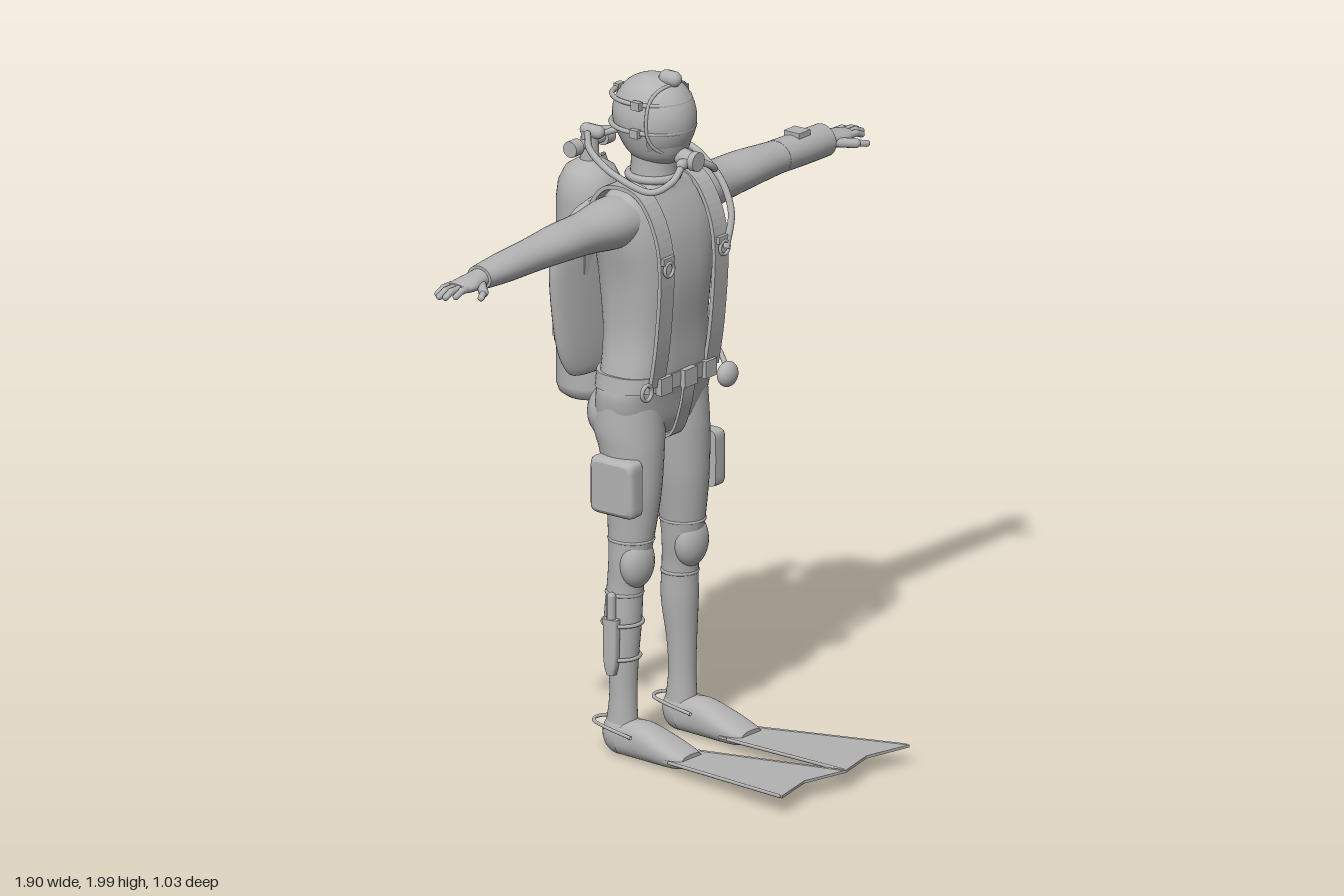
import * as THREE from 'three';

const grey = new THREE.MeshStandardMaterial({ color: 0xb3b3b3, side: THREE.DoubleSide });
grey.name = 'grey';
const V = (x, y, z) => new THREE.Vector3(x, y, z);

// Smooth body through cross-sections [t, u, v, ru, rv] along one axis, with capped ends.
// y axis: u = x, v = z; x axis: u = y, v = z; z axis: u = x, v = y.
function loft(axis, secs, exp = 2, seg = 32, sub = 5) {
  const rows = [], n = secs.length, pos = [], idx = [];
  const cr = (a, b, c, d, t) => 0.5 * (2 * b + (c - a) * t + (2 * a - 5 * b + 4 * c - d) * t * t + (3 * b - a - 3 * c + d) * t * t * t);
  for (let i = 0; i < n - 1; i++) for (let k = 0; k < sub; k++) {
    const [a, b, c, d] = [i - 1, i, i + 1, i + 2].map(j => secs[Math.min(n - 1, Math.max(0, j))]);
    rows.push(b.map((_, q) => cr(a[q], b[q], c[q], d[q], k / sub)));
  }
  rows.push(secs[n - 1]);
  const all = [[...rows[0].slice(0, 3), 0, 0], rows[0], ...rows, rows[rows.length - 1], [...secs[n - 1].slice(0, 3), 0, 0]];
  const sp = w => Math.sign(w) * Math.pow(Math.abs(w), 2 / exp);
  for (const [t, u, v, ru, rv] of all) for (let j = 0; j < seg; j++) {
    const a = j / seg * Math.PI * 2, p = u + ru * sp(Math.cos(a)), q = v + rv * sp(Math.sin(a));
    pos.push(...(axis === 'y' ? [p, t, q] : axis === 'x' ? [t, p, q] : [p, q, t]));
  }
  const flip = (axis === 'y') !== (secs[n - 1][0] < secs[0][0]);
  for (let i = 0; i < all.length - 1; i++) {
    if (i === 1 || i === all.length - 3) continue;
    for (let j = 0; j < seg; j++) {
      const a = i * seg + j, b = i * seg + (j + 1) % seg, c = a + seg, d = b + seg;
      flip ? idx.push(a, c, b, b, c, d) : idx.push(a, b, c, b, d, c);
    }
  }
  const g = new THREE.BufferGeometry();
  g.setAttribute('position', new THREE.Float32BufferAttribute(pos, 3));
  g.setIndex(idx);
  g.computeVertexNormals();
  return g;
}

const ball = (x, y, z, a, b = a, c = a) => new THREE.SphereGeometry(1, 32, 20).scale(a, b, c).translate(x, y, z);
const box = (x, y, z, w, h, d) => new THREE.BoxGeometry(w, h, d).translate(x, y, z);
const tube = (pts, r, closed = false) =>
  new THREE.TubeGeometry(new THREE.CatmullRomCurve3(pts.map(p => V(...p)), closed), 48, r, 10, closed);
const hoop = (y, z, rx, rz, r, x = 0) =>
  new THREE.TorusGeometry(1, r / rx, 8, 40).rotateX(Math.PI / 2).scale(rx, rx, rz).translate(x, y, z);
function rod(a, b, r) {
  const p = V(...a), d = V(...b).sub(p);
  const g = new THREE.CapsuleGeometry(r, d.length(), 5, 12);
  g.applyQuaternion(new THREE.Quaternion().setFromUnitVectors(V(0, 1, 0), d.clone().normalize()));
  return g.translate(p.x + d.x / 2, p.y + d.y / 2, p.z + d.z / 2);
}
// Flat webbing following a (z, y) path, w wide in x
function webbing(pts, x, w, th) {
  const c = new THREE.SplineCurve(pts.map(p => new THREE.Vector2(...p)));
  const out = [], inn = [];
  for (let i = 0; i <= 40; i++) {
    const p = c.getPoint(i / 40), t = c.getTangent(i / 40);
    out.push(p);
    inn.unshift(new THREE.Vector2(p.x - t.y * th, p.y + t.x * th));
  }
  return new THREE.ExtrudeGeometry(new THREE.Shape([...out, ...inn]), { depth: w, bevelEnabled: false })
    .rotateY(-Math.PI / 2).translate(x + w / 2, 0, 0);
}

export function createModel() {
  const root = new THREE.Group();
  root.name = 'diver';
  const add = (name, ...geos) => geos.forEach(g => {
    const m = new THREE.Mesh(g, grey);
    m.name = name;
    root.add(m);
  });

  // Body
  add('torso', loft('y', [[0.94, 0, -0.18, 0.06, 0.07], [0.98, 0, -0.185, 0.17, 0.1], [1.06, 0, -0.175, 0.198, 0.105],
    [1.13, 0, -0.165, 0.185, 0.108], [1.25, 0, -0.165, 0.165, 0.112], [1.4, 0, -0.165, 0.172, 0.125],
    [1.52, 0, -0.17, 0.195, 0.12], [1.6, 0, -0.175, 0.2, 0.1], [1.65, 0, -0.175, 0.17, 0.075], [1.675, 0, -0.175, 0.09, 0.065]], 2.7, 48));
  add('neck', loft('y', [[1.64, 0, -0.175, 0.075, 0.075], [1.7, 0, -0.172, 0.064, 0.066], [1.79, 0, -0.17, 0.064, 0.066]]));
  add('collar', hoop(1.685, -0.173, 0.068, 0.07, 0.012));

  // Head and full-face mask
  const hy = 1.855, hz = -0.17;
  add('head', loft('y', [[1.73, 0, -0.155, 0.04, 0.05], [1.76, 0, -0.16, 0.078, 0.088], [1.84, 0, hz, 0.106, 0.118],
    [1.9, 0, hz, 0.1, 0.117], [1.95, 0, hz, 0.074, 0.085], [1.975, 0, hz, 0.035, 0.042], [1.98, 0, hz, 0.005, 0.005]], 2.1));
  add('visor', new THREE.SphereGeometry(1, 32, 20, Math.PI / 2 - 1.15, 2.3, 0.6, 1.7).scale(0.112, 0.13, 0.125).translate(0, hy, hz));
  const rim = [];
  for (let i = 0; i < 24; i++) {
    const a = i / 24 * Math.PI * 2, c = Math.cos(a), s = Math.sin(a);
    const lon = 1.15 * Math.sign(c) * Math.pow(Math.abs(c), 0.7), lat = 0.12 + 0.85 * Math.sign(s) * Math.pow(Math.abs(s), 0.7);
    rim.push([0.112 * Math.sin(lon) * Math.cos(lat), hy + 0.13 * Math.sin(lat), hz + 0.125 * Math.cos(lon) * Math.cos(lat)]);
  }
  add('visorRim', tube(rim, 0.005, true));
  add('maskStrap', hoop(1.915, hz - 0.012, 0.1, 0.115, 0.007), hoop(1.835, hz - 0.005, 0.109, 0.122, 0.007));
  add('strapTab', box(0, 1.915, -0.295, 0.03, 0.025, 0.018), box(0, 1.835, -0.298, 0.03, 0.025, 0.018));
  add('headLamp', rod([0, 1.977, -0.1], [0, 1.977, -0.125], 0.023), box(0, 1.95, -0.12, 0.03, 0.05, 0.04));
  add('regulator', rod([0, 1.755, -0.07], [0, 1.75, -0.045], 0.026), rod([-0.035, 1.745, -0.045], [0.035, 1.745, -0.045], 0.016),
    new THREE.CylinderGeometry(0.028, 0.028, 0.02, 24).rotateX(Math.PI / 2).translate(0, 1.75, -0.022));

  for (const s of [1, -1]) {
    const m = secs => secs.map(([t, u, ...r]) => [t, s * u, ...r]);
    add('maskBuckle', box(s * 0.105, 1.915, -0.15, 0.018, 0.024, 0.028), box(s * 0.112, 1.835, -0.15, 0.018, 0.024, 0.028));

    // Legs
    add('leg', loft('y', m([[1.06, 0.1, -0.175, 0.094, 0.09], [0.97, 0.1, -0.18, 0.099, 0.102], [0.9, 0.103, -0.168, 0.09, 0.093],
      [0.78, 0.108, -0.158, 0.077, 0.08], [0.66, 0.115, -0.16, 0.063, 0.068], [0.58, 0.12, -0.165, 0.058, 0.058], [0.5, 0.124, -0.175, 0.051, 0.053],
      [0.4, 0.128, -0.18, 0.052, 0.054], [0.28, 0.132, -0.176, 0.043, 0.043], [0.18, 0.133, -0.175, 0.039, 0.04], [0.08, 0.134, -0.18, 0.042, 0.05]])));
    add('buttock', ball(s * 0.095, 1.0, -0.225, 0.088, 0.09, 0.085));
    add('kneePad', ball(s * 0.122, 0.58, -0.135, 0.06, 0.076, 0.043));
    add('kneeBand', hoop(0.645, -0.16, 0.06, 0.064, 0.005, s * 0.116), hoop(0.485, -0.177, 0.049, 0.05, 0.006, s * 0.125));
    add('thighPocket', loft('x', [[s * 0.165, 0.815, -0.157, 0.083, 0.076], [s * 0.205, 0.815, -0.157, 0.083, 0.076],
      [s * 0.218, 0.815, -0.157, 0.07, 0.064]], 9, 48, 3));

    // Boots and fins
    add('boot', ball(s * 0.135, 0.072, -0.18, 0.048, 0.063, 0.056));
    add('footPocket', loft('z', [[-0.17, 0.135, 0.062, 0.046, 0.05], [-0.1, 0.135, 0.065, 0.053, 0.054], [-0.02, 0.135, 0.053, 0.058, 0.042],
      [0.04, 0.135, 0.042, 0.056, 0.029], [0.07, 0.135, 0.04, 0.045, 0.018]].map(([t, u, ...r]) => [t, s * u, ...r]), 2.4));
    add('finStrap', tube([[0.06, 0.085, -0.1], [0.057, 0.1, -0.2], [0.03, 0.1, -0.255], [0, 0.1, -0.268], [-0.03, 0.1, -0.255],
      [-0.057, 0.1, -0.2], [-0.06, 0.085, -0.1]].map(([x, y, z]) => [x + s * 0.135, y, z]), 0.005));
    const outline = [[0.075, 0.0], [0.19, 0.0], [0.2, 0.08], [0.288, 0.512], [0.14, 0.475], [0.0, 0.512], [0.066, 0.08]];
    const blade = new THREE.ExtrudeGeometry(new THREE.Shape(outline.map(([x, z]) => new THREE.Vector2(s * x, z))),
      { depth: 0.008, bevelEnabled: false }).rotateX(Math.PI / 2);
    const p = blade.attributes.position;
    for (let i = 0; i < p.count; i++) p.setY(i, p.getY(i) + 0.043 + 0.046 * p.getZ(i));
    blade.computeVertexNormals();
    add('finBlade', blade);
    add('finRail', ...[[0.066, 0.004], [0.198, 0.286]].map(([a, b]) => rod([s * a, 0.042, 0.04], [s * b, 0.063, 0.5], 0.005)));

    // Arms and hands
    add('arm', loft('x', [[0.1, 1.585, -0.18, 0.07, 0.085], [0.19, 1.585, -0.18, 0.073, 0.083], [0.3, 1.585, -0.18, 0.06, 0.07],
      [0.42, 1.588, -0.178, 0.054, 0.066], [0.55, 1.585, -0.178, 0.047, 0.055], [0.68, 1.582, -0.178, 0.042, 0.05],
      [0.78, 1.58, -0.178, 0.034, 0.042]].map(([t, ...r]) => [s * t, ...r])));
    add('hand', loft('x', [[0.75, 1.58, -0.178, 0.031, 0.036], [0.79, 1.578, -0.178, 0.026, 0.033], [0.84, 1.575, -0.178, 0.021, 0.04],
      [0.88, 1.573, -0.183, 0.014, 0.035]].map(([t, ...r]) => [s * t, ...r])));
    [0.925, 0.942, 0.938, 0.915].forEach((x, i) => {
      const z = -0.211 + i * 0.019;
      add('finger', rod([s * 0.86, 1.574, z], [s * (x - 0.025), 1.574, z], 0.0105), rod([s * (x - 0.025), 1.574, z], [s * x, 1.564, z], 0.0095));
    });
    add('thumb', rod([s * 0.8, 1.57, -0.155], [s * 0.84, 1.565, -0.115], 0.014), rod([s * 0.84, 1.565, -0.115], [s * 0.87, 1.56, -0.1], 0.01));

    // Harness
    add('shoulderStrap', webbing([[-0.06, 1.11], [-0.038, 1.25], [-0.025, 1.45], [-0.045, 1.57], [-0.1, 1.66], [-0.175, 1.685],
      [-0.25, 1.66], [-0.3, 1.56], [-0.31, 1.4]], s * 0.122, 0.06, 0.012));
    add('harnessRing', new THREE.TorusGeometry(0.02, 0.005, 8, 24).translate(s * 0.125, 1.465, -0.018));
    add('harnessClip', box(s * 0.125, 1.49, -0.024, 0.05, 0.02, 0.014));
    add('beltPouch', box(s * 0.1, 1.11, -0.055, 0.05, 0.05, 0.02));

    // Tank valve knobs
    add('valveKnob', rod([s * 0.02, 1.73, -0.4], [s * 0.055, 1.73, -0.4], 0.014),
      new THREE.CylinderGeometry(0.024, 0.024, 0.035, 16).rotateZ(Math.PI / 2).translate(s * 0.072, 1.73, -0.4));
    // Breathing hose round the head, and hose over the shoulder
    add('breathingHose', tube([[0.03, 1.745, -0.045], [0.09, 1.71, -0.035], [0.14, 1.685, -0.07], [0.17, 1.72, -0.17],
      [0.13, 1.755, -0.29], [0.03, 1.765, -0.385]].map(([x, y, z]) => [s * x, y, z]), 0.01));
  }
  add('inflatorHose', tube([[0.02, 1.75, -0.39], [0.1, 1.77, -0.3], [0.165, 1.72, -0.2], [0.178, 1.66, -0.09], [0.17, 1.56, -0.03], [0.135, 1.46, -0.02]], 0.01));

  // Belt with buckle and crotch strap
  add('belt', loft('y', [[1.09, 0, -0.17, 0.198, 0.116], [1.135, 0, -0.168, 0.192, 0.116]], 2.7, 48, 1));
  add('beltBuckle', box(0, 1.112, -0.047, 0.055, 0.052, 0.018));
  add('crotchStrap', webbing([[-0.05, 1.1], [-0.065, 1.02], [-0.1, 0.94], [-0.18, 0.922], [-0.27, 0.95], [-0.3, 1.08]].reverse(), 0, 0.05, -0.008));
  add('beltRing', new THREE.TorusGeometry(0.022, 0.006, 8, 24).translate(-0.185, 1.11, -0.05));

  // Gauge on its hose
  add('gauge', ball(0.192, 1.066, -0.06, 0.037, 0.037, 0.025));
  add('gaugeHose', tube([[0.192, 1.08, -0.06], [0.205, 1.14, -0.11], [0.23, 1.22, -0.22], [0.225, 1.31, -0.3], [0.15, 1.5, -0.4], [0.06, 1.68, -0.4]], 0.008));

  // Buoyancy wing
  add('buoyancyWing', loft('y', [[1.09, 0, -0.335, 0.13, 0.015], [1.11, 0, -0.335, 0.18, 0.032], [1.2, 0, -0.34, 0.22, 0.046],
    [1.4, 0, -0.34, 0.25, 0.048], [1.5, 0, -0.338, 0.232, 0.044], [1.57, 0, -0.33, 0.17, 0.034], [1.6, 0, -0.325, 0.11, 0.015]], 2.2, 48));

  // Tank, bands and valve
  add('tank', new THREE.LatheGeometry([[0, 0.99], [0.07, 0.992], [0.088, 1.005], [0.096, 1.03], [0.096, 1.57], [0.09, 1.62],
    [0.07, 1.66], [0.035, 1.682], [0, 1.685]].map(q => new THREE.Vector2(...q)), 40).translate(0, 0, -0.398));
  for (const y of [1.165, 1.44]) {
    add('tankBand', new THREE.CylinderGeometry(0.101, 0.101, 0.032, 40).translate(0, y, -0.398));
    add('bandBuckle', box(0, y, -0.5, 0.045, 0.045, 0.03));
  }
  add('valve', new THREE.CylinderGeometry(0.024, 0.028, 0.09, 20).translate(0, 1.72, -0.4),
    rod([0, 1.765, -0.41], [0, 1.765, -0.37], 0.02));

  // Knife strapped to the right calf
  add('knifeSheath', loft('y', [[0.255, -0.185, -0.176, 0.012, 0.012], [0.3, -0.186, -0.176, 0.014, 0.022], [0.42, -0.186, -0.176, 0.015, 0.024]], 4));
  add('knifeHandle', rod([-0.186, 0.42, -0.176], [-0.186, 0.485, -0.176], 0.013));
  add('knifeBand', hoop(0.3, -0.176, 0.052, 0.048, 0.006, -0.135), hoop(0.4, -0.178, 0.058, 0.056, 0.006, -0.132));

  // Forearm cuff and wrist instrument on the left arm
  add('cuff', loft('x', [[0.56, 1.585, -0.178, 0.047, 0.055], [0.66, 1.582, -0.178, 0.048, 0.053], [0.77, 1.58, -0.178, 0.048, 0.05]]));
  add('wristInstrument', box(0.655, 1.632, -0.178, 0.05, 0.016, 0.055));
  return root;
}
